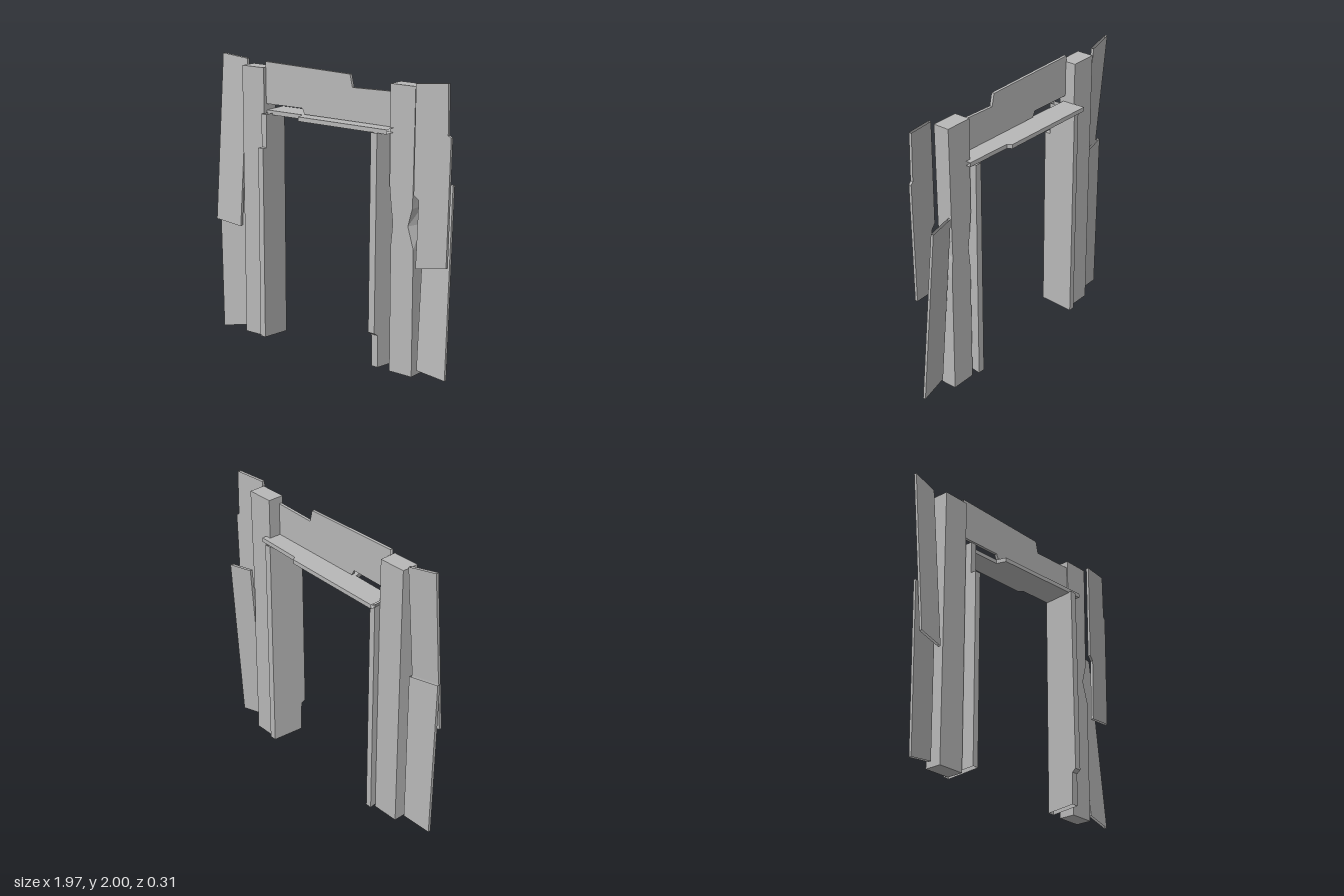
import * as THREE from 'three';

const wood = new THREE.MeshStandardMaterial({ color: 0xb8b8b8, side: THREE.DoubleSide, flatShading: true });
wood.name = 'plain grey';

function meshFrom(name, positions) {
  const g = new THREE.BufferGeometry();
  g.setAttribute('position', new THREE.Float32BufferAttribute(positions, 3));
  g.computeVertexNormals();
  const mesh = new THREE.Mesh(g, wood);
  mesh.name = name;
  return mesh;
}

// Board from a counter-clockwise outline (u, v) with thickness along w.
// Edges listed in open (edge i runs from point i to i + 1) get no end face.
function board(name, outline, thickness, open, place) {
  const pos = [], h = thickness / 2;
  const put = (i, w) => pos.push(...place(outline[i][0], outline[i][1], w));
  const pts = outline.map(([u, v]) => new THREE.Vector2(u, v));
  for (const [a, b, c] of THREE.ShapeUtils.triangulateShape(pts, [])) {
    put(a, h); put(b, h); put(c, h);
    put(a, -h); put(c, -h); put(b, -h);
  }
  outline.forEach((_, i) => {
    if (open.includes(i)) return;
    const j = (i + 1) % outline.length;
    put(i, -h); put(j, -h); put(j, h);
    put(i, -h); put(j, h); put(i, h);
  });
  return meshFrom(name, pos);
}

// Upright board facing the front, turned (yaw) and leaning by sloping z
const upright = (z0, x0, yaw, y0 = 0, lean = 0) =>
  (x, y, w) => [x, y, z0 + yaw * (x - x0) + lean * (y - y0) + w];

// Post through four-cornered levels: [y, frontLeftX, frontRightX, backRightX, backLeftX]
function post(name, levels, zFront, zBack) {
  const pos = [];
  const rings = levels.map(([y, a, b, c, d]) =>
    [[a, y, zFront], [b, y, zFront], [c, y, zBack], [d, y, zBack]]);
  const quad = (a, b, c, d) => pos.push(...a, ...b, ...c, ...a, ...c, ...d);
  for (let k = 0; k + 1 < rings.length; k++) {
    for (let i = 0; i < 4; i++) {
      const j = (i + 1) % 4;
      quad(rings[k][i], rings[k][j], rings[k + 1][j], rings[k + 1][i]);
    }
  }
  const [b, t] = [rings[0], rings[rings.length - 1]];
  quad(b[3], b[2], b[1], b[0]);
  quad(t[0], t[1], t[2], t[3]);
  return meshFrom(name, pos);
}

export function createModel() {
  const group = new THREE.Group();
  group.name = 'doorFrame';

  // Main posts, one of them worn to a waist
  group.add(post('straightPost', [
    [0.01, -0.74, -0.545, -0.545, -0.74],
    [1.94, -0.74, -0.545, -0.545, -0.74],
  ], 0.05, -0.07));
  group.add(post('wornPost', [
    [0.01, 0.54, 0.72, 0.72, 0.54],
    [0.88, 0.54, 0.72, 0.718, 0.54],
    [1.03, 0.555, 0.675, 0.708, 0.555],
    [1.15, 0.54, 0.708, 0.71, 0.54],
    [1.28, 0.527, 0.712, 0.712, 0.527],
    [1.94, 0.525, 0.72, 0.72, 0.525],
  ], 0.05, -0.065));

  // Jamb boards lining the opening, outlined as (-z, y)
  group.add(board('rightJamb', [
    [-0.13, 0.04], [0.11, 0.02], [0.11, 1.63], [-0.09, 1.63], [-0.09, 1.4], [-0.13, 1.4],
  ], 0.044, [0, 2], (u, y, w) => [-0.515 - 0.04 * u + w, y, -u]));
  group.add(board('leftJamb', [
    [-0.12, 0.045], [0.11, 0.04], [0.11, 1.63], [-0.145, 1.63], [-0.155, 0.29], [-0.125, 0.27],
  ], 0.05, [0, 2], (u, y, w) => [0.485 + 0.12 * u + w, y, -u]));

  // Broken board under the header, outlined as (x, -z)
  group.add(board('soffitBoard', [
    [-0.545, -0.02], [-0.22, -0.03], [-0.2, -0.1], [0.555, -0.13],
    [0.565, 0.1], [0.22, 0.11], [0.2, 0.14], [-0.55, 0.15],
  ], 0.03, [3, 7], (x, v, w) => [x, 1.638 + 0.012 * x + 0.02 * v + w, -v]));

  // Broken header board between the posts
  group.add(board('headerBoard', [
    [-0.55, 1.69], [-0.22, 1.695], [-0.2, 1.655], [0.55, 1.66],
    [0.56, 1.89], [0.21, 1.88], [0.19, 1.965], [-0.55, 1.98],
  ], 0.02, [3, 7], upright(0.024, 0, 0.015)));

  // Overlapping outer boards
  group.add(board('rightUpperBoard', [
    [-0.97, 0.82], [-0.77, 0.79], [-0.77, 1.975], [-0.97, 2.0],
  ], 0.02, [0, 2], upright(0.017, -0.87, -0.17, 1.4, -0.083)));
  group.add(board('rightLowerBoard', [
    [-0.97, 0.0], [-0.77, 0.035], [-0.77, 1.17], [-0.985, 1.19],
  ], 0.02, [0, 2], upright(0.01, -0.87, -0.17)));
  group.add(board('leftUpperBoard', [
    [0.755, 0.765], [0.965, 0.795], [0.98, 1.64], [0.96, 1.655],
    [0.955, 1.98], [0.74, 1.965], [0.735, 1.25], [0.77, 1.22],
  ], 0.02, [0, 4], upright(0.045, 0.85, -0.18)));
  group.add(board('leftLowerBoard', [
    [0.75, 0.06], [0.955, 0.025], [0.925, 1.31], [0.735, 1.33],
  ], 0.02, [0, 2], upright(0.015, 0.845, -0.14, 0.03, -0.077)));

  return group;
}
